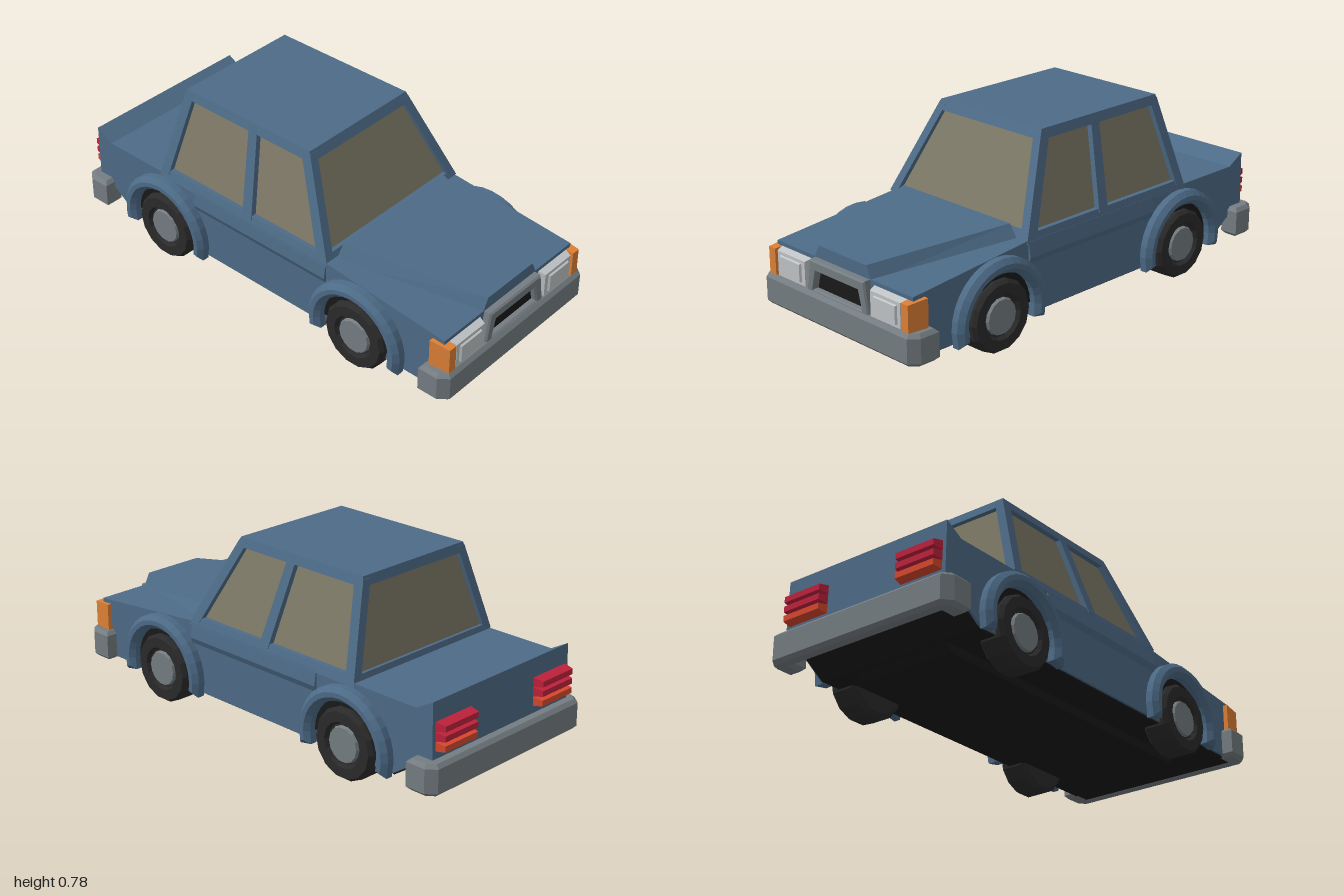
import * as THREE from 'three';

const paint = (name, color) => Object.assign(new THREE.MeshStandardMaterial({ color }), { name });
const M = {
  body: paint('bodyBlue', 0x4d6b87),
  glass: paint('windowGlass', 0x7d7866),
  grey: paint('trimGrey', 0x757d82),
  lamp: paint('headlampSilver', 0xc0c4c6),
  amber: paint('indicatorAmber', 0xdd8035),
  red: paint('tailRed', 0xc0223c),
  orange: paint('tailOrange', 0xd9482e),
  tyre: paint('tyreRubber', 0x2a2a2a),
  black: paint('undersideBlack', 0x191919),
};

export function createModel() {
  const car = new THREE.Group();
  car.name = 'sedan';

  // Adds a mesh with faceted normals
  const add = (name, geometry, material, parent = car) => {
    const g = geometry.index ? geometry.toNonIndexed() : geometry;
    g.computeVertexNormals();
    const mesh = new THREE.Mesh(g, material);
    mesh.name = name;
    parent.add(mesh);
    return mesh;
  };

  // Six-sided block whose corners come from a rule on the corner signs
  const block = (rule) => {
    const g = new THREE.BoxGeometry(2, 2, 2);
    const p = g.attributes.position;
    for (let i = 0; i < p.count; i++) p.setXYZ(i, ...rule(p.getX(i), p.getY(i), p.getZ(i)));
    return g;
  };
  const box = (x0, x1, y0, y1, z0, z1) =>
    block((x, y, z) => [x > 0 ? x1 : x0, y > 0 ? y1 : y0, z > 0 ? z1 : z0]);
  // Box spanning a range on the side s (+1 left, -1 right)
  const sideBox = (s, x0, x1, ...rest) => (s > 0 ? box(x0, x1, ...rest) : box(-x1, -x0, ...rest));
  const polygon = (pts) => new THREE.Shape(pts.map(([x, y]) => new THREE.Vector2(x, y)));

  // Main hull, extruded sideways from its side profile
  const hull = polygon([
    [-0.95, 0.1], [-0.95, 0.35], [-0.36, 0.405], [0.87, 0.405], [0.95, 0.45],
    [0.955, 0.2], [0.86, 0.17], [0.76, 0.1],
  ]);
  const hullGeometry = new THREE.ExtrudeGeometry(hull, { depth: 0.8, bevelEnabled: false });
  add('bodyHull', hullGeometry.translate(0, 0, -0.4).rotateY(Math.PI / 2), M.body);

  // Raised bonnet, narrowing to the grille
  add('bonnet', block((x, y, z) => z > 0
    ? [x * (y > 0 ? 0.14 : 0.17), y > 0 ? 0.4 : 0.34, 0.95]
    : [x * (y > 0 ? 0.31 : 0.355), y > 0 ? 0.455 : 0.39, 0.37]), M.body);

  // Underside and floor pan
  add('underside', box(-0.39, 0.39, 0.093, 0.102, -0.76, 0.95), M.black);
  add('rearUnderside', block((x, y, z) =>
    [x * 0.39, (z > 0 ? 0.097 : 0.166) + y * 0.005, z > 0 ? -0.76 : -0.86]), M.black);
  add('floorPan', block((x, y, z) =>
    [x * (y > 0 ? 0.23 : 0.22), y > 0 ? 0.1 : 0.06, z > 0 ? (y > 0 ? 0.76 : 0.72) : (y > 0 ? -0.74 : -0.71)]), M.black);

  // Cabin: glass core, sill, roof and pillars
  add('windows', block((x, y, z) => y > 0
    ? [x * 0.27, 0.77, z > 0 ? 0.165 : -0.48]
    : [x * 0.38, 0.4, z > 0 ? 0.345 : -0.545]), M.glass);
  add('windowSill', block((x, y, z) => y > 0
    ? [x * 0.393, 0.428, z > 0 ? 0.35 : -0.553]
    : [x * 0.405, 0.39, z > 0 ? 0.37 : -0.565]), M.body);
  add('roof', block((x, y, z) => y > 0
    ? [x * 0.288, 0.787, z > 0 ? 0.175 : -0.495]
    : [x * 0.3, 0.748, z > 0 ? 0.195 : -0.505]), M.body);
  // Each pillar: [name, z range at the sill, z range at the roof]
  const pillars = [
    ['frontPillar', 0.315, 0.365, 0.135, 0.182],
    ['centrePillar', -0.09, -0.04, -0.145, -0.1],
    ['rearPillar', -0.56, -0.515, -0.5, -0.455],
  ];
  for (const s of [1, -1]) {
    for (const [name, b0, b1, t0, t1] of pillars) {
      add(name, block((x, y, z) => y > 0
        ? [s * 0.272 + x * 0.02, 0.775, z > 0 ? t1 : t0]
        : [s * 0.382 + x * 0.02, 0.41, z > 0 ? b1 : b0]), M.body);
    }

    // Creased door panel between the arches
    add('doorCrease', block((x, y, z) =>
      [s * 0.395 + x * (x * s > 0 && y < 0 ? 0.017 : 0.008), y > 0 ? 0.4 : (x * s > 0 ? 0.335 : 0.28), z * 0.36]), M.body);

    // Headlamps and wraparound indicators
    add('headlampSurround', block((x, y, z) => {
      const inset = z > 0 ? 0.012 : 0;
      return [s * 0.278 + x * (0.096 - inset), 0.273 + y * (0.064 - inset), z > 0 ? 0.98 : 0.94];
    }), M.lamp);
    add('headlampLens', block((x, y, z) =>
      [s * 0.28 + x * (z > 0 ? 0.06 : 0.068), 0.272 + y * (z > 0 ? 0.036 : 0.042), z > 0 ? 0.988 : 0.975]), M.lamp);
    add('indicator', block((x, y, z) => {
      const outer = z > 0 ? 0.41 : 0.42;
      return [s * (x * s > 0 ? outer : 0.372), 0.275 + y * (z > 0 ? 0.056 : 0.062), z > 0 ? 0.985 : 0.895];
    }), M.amber);

    // Ribbed tail lamps
    [[0.25, M.orange], [0.29, M.red], [0.33, M.red]].forEach(([y0, material]) => {
      add('tailLamp', block((x, y, z) => {
        const inset = z < 0 ? 0.008 : 0;
        return [s * 0.285 + x * (0.1 - inset), y0 + 0.02 + y * (0.02 - inset), z > 0 ? -0.945 : -0.995];
      }), material);
    });

    // Wheels and flared arches
    for (const z of [0.53, -0.53]) {
      const wheel = new THREE.Group();
      wheel.name = z > 0 ? 'frontWheel' : 'rearWheel';
      wheel.position.set(s * 0.373, 0.15, z);
      wheel.rotation.z = -s * Math.PI / 2;
      car.add(wheel);
      const tyre = [[0, -0.063], [0.13, -0.063], [0.15, -0.045], [0.15, 0.045], [0.138, 0.062],
        [0.095, 0.062], [0.085, 0.045], [0, 0.045]];
      add('tyre', new THREE.LatheGeometry(tyre.map(([r, h]) => new THREE.Vector2(r, h)), 14), M.tyre, wheel);
      add('hub', new THREE.CylinderGeometry(0.072, 0.08, 0.02, 14).translate(0, 0.048, 0), M.grey, wheel);

      const well = new THREE.CylinderGeometry(0.185, 0.185, 0.01, 16, 1, false, 0, Math.PI);
      add('wheelWell', well.rotateZ(Math.PI / 2).rotateX(-Math.PI / 2)
        .scale(1, 1, 1), M.black).position.set(s * 0.399, 0.15, z);
      car.children[car.children.length - 1].rotation.x = archUp(well);

      const arch = new THREE.Shape();
      arch.absarc(0, 0, 0.215, -0.2, Math.PI + 0.2, false);
      arch.absarc(0, 0, 0.195, Math.PI + 0.2, -0.2, true);
      const archGeometry = new THREE.ExtrudeGeometry(arch, {
        depth: 0.03, curveSegments: 9, bevelSegments: 1, bevelSize: 0.02, bevelThickness: 0.02,
      });
      add('wheelArch', archGeometry.rotateY(s * Math.PI / 2), M.body).position.set(s * 0.4, 0.152, z);
    }
  }

  // Grille: dark opening with a splayed frame
  const frame = polygon([[-0.155, 0.342], [0.155, 0.342], [0.178, 0.21], [-0.178, 0.21]]);
  frame.holes.push(polygon([[-0.128, 0.31], [-0.15, 0.222], [0.15, 0.222], [0.128, 0.31]]));
  const frameGeometry = new THREE.ExtrudeGeometry(frame, {
    depth: 0.03, bevelSegments: 1, bevelSize: 0.006, bevelThickness: 0.008,
  });
  add('grilleFrame', frameGeometry.translate(0, 0, 0.945), M.grey);
  add('grilleOpening', box(-0.155, 0.155, 0.215, 0.315, 0.948, 0.956), M.black);

  // Wraparound bumpers, the rear one turned about
  const half = [[0.435, 0.885], [0.435, 0.955], [0.41, 0.985]];
  const inner = [[0.385, 0.95], [0.385, 0.885]];
  const mirror = (pts) => pts.map(([x, z]) => [-x, z]).reverse();
  for (const end of ['frontBumper', 'rearBumper']) {
    const outline = polygon([...half, ...mirror(half), ...mirror(inner), ...inner]);
    const g = new THREE.ExtrudeGeometry(outline, {
      depth: 0.1, bevelSegments: 1, bevelSize: 0.015, bevelThickness: 0.015,
    });
    g.rotateX(Math.PI / 2).translate(0, 0.205, 0);
    add(end, end === 'rearBumper' ? g.rotateY(Math.PI) : g, M.grey);
  }
  return car;
}

// Turn that puts a half disc with its dome upward
function archUp(geometry) {
  geometry.computeBoundingBox();
  const { min, max } = geometry.boundingBox;
  if (max.y - min.y > max.z - min.z) return max.z > -min.z ? -Math.PI / 2 : Math.PI / 2;
  return max.y > -min.y ? 0 : Math.PI;
}
